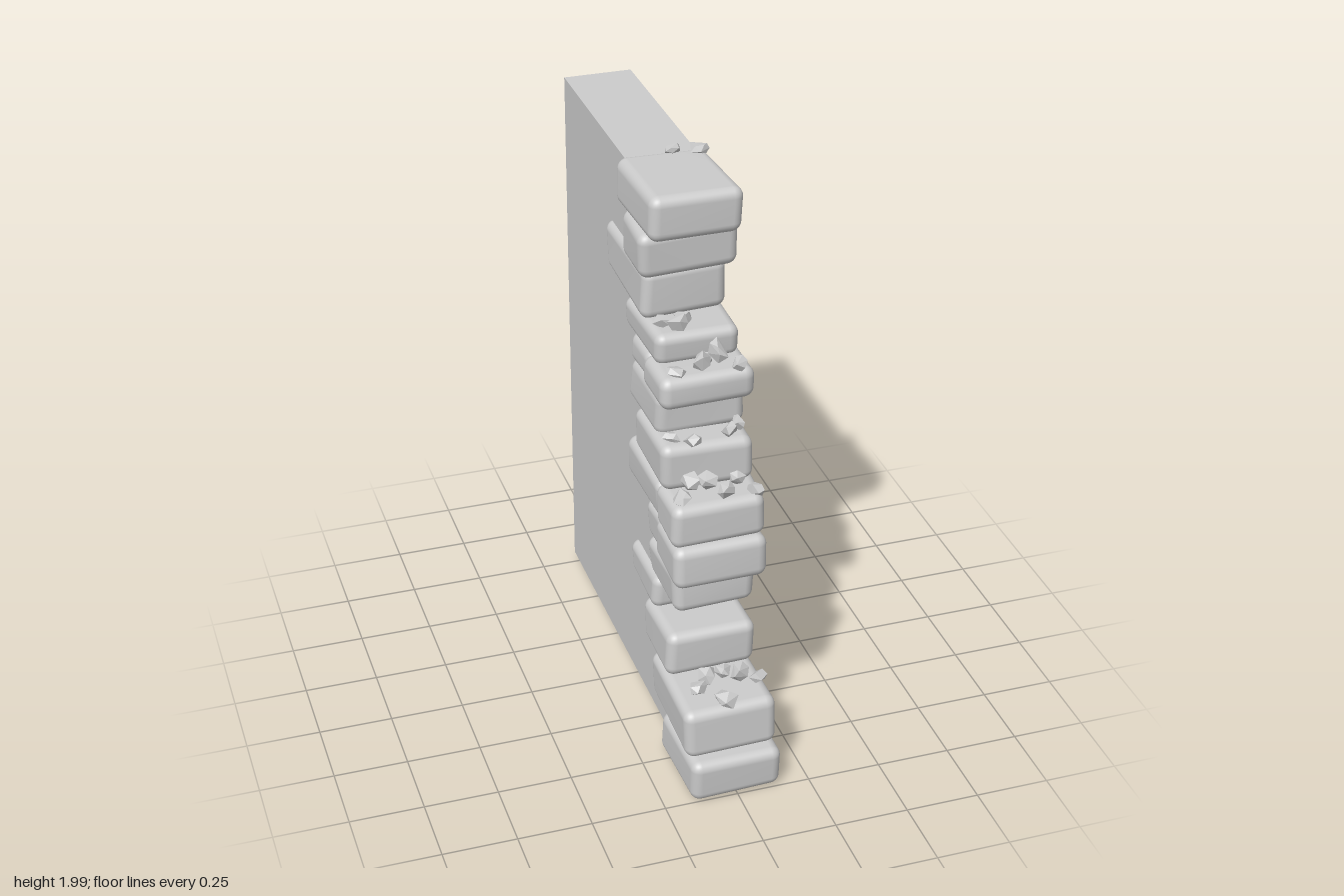
import * as THREE from 'three';
import { mergeVertices } from 'three/addons/utils/BufferGeometryUtils.js';
import { RoundedBoxGeometry } from 'three/addons/geometries/RoundedBoxGeometry.js';
import { ConvexGeometry } from 'three/addons/geometries/ConvexGeometry.js';

const smoothMat = new THREE.MeshStandardMaterial({ color: 0xcccccc });
const flatMat = new THREE.MeshStandardMaterial({ color: 0xcccccc, flatShading: true });

let seed = 7;
function rand() {
  seed = (seed * 16807) % 2147483647;
  return seed / 2147483647;
}
const jitter = (a) => (rand() * 2 - 1) * a;

// Worn block: rounded box whose corners are pulled about by smooth (trilinear) offsets
function makeBlock(x0, x1, y0, y1, z0, z1) {
  const w = x1 - x0, h = y1 - y0, d = z1 - z0;
  const geo = new RoundedBoxGeometry(w, h, d, 4, 0.034);
  const offsets = Array.from({ length: 8 }, () => [jitter(0.008), jitter(0.007), jitter(0.008)]);
  const p = geo.attributes.position;
  for (let i = 0; i < p.count; i++) {
    const v = [p.getX(i), p.getY(i), p.getZ(i)];
    const t = [v[0] / w + 0.5, v[1] / h + 0.5, v[2] / d + 0.5];
    for (let c = 0; c < 8; c++) {
      const k = (c & 1 ? t[0] : 1 - t[0]) * (c & 2 ? t[1] : 1 - t[1]) * (c & 4 ? t[2] : 1 - t[2]);
      for (let a = 0; a < 3; a++) v[a] += offsets[c][a] * k;
    }
    p.setXYZ(i, ...v);
  }
  geo.deleteAttribute('normal');
  geo.deleteAttribute('uv');
  const merged = mergeVertices(geo, 1e-4);
  merged.computeVertexNormals();
  const mesh = new THREE.Mesh(merged, smoothMat);
  mesh.position.set((x0 + x1) / 2, (y0 + y1) / 2, (z0 + z1) / 2);
  return mesh;
}

// Angular rubble chip: hull of a few points scattered on an ellipsoid
function makeChip(x, y, z, sx, sy, sz) {
  const pts = [];
  for (let i = 0; i < 10; i++) {
    const u = 1 - (2 * (i + 0.5)) / 10, a = i * 2.4 + jitter(0.5), r = Math.sqrt(1 - u * u);
    const k = 0.95 + jitter(0.15);
    pts.push(new THREE.Vector3(Math.cos(a) * r * sx, u * sy, Math.sin(a) * r * sz).multiplyScalar(k / 2));
  }
  const mesh = new THREE.Mesh(new ConvexGeometry(pts), flatMat);
  mesh.position.set(x, y, z);
  mesh.rotation.set(jitter(0.35), jitter(1), jitter(0.35));
  return mesh;
}

export function createModel() {
  const group = new THREE.Group();
  group.name = 'ruinedWallEnd';

  // Plain wall slab; its broken front edge stays hidden inside the blocks
  const edge = [
    [0.47, 0.04], [0.47, 0.155], [0.4, 0.33], [0.27, 0.48], [0.27, 0.6], [0.3, 0.735], [0.3, 0.88],
    [0.25, 1.02], [0.24, 1.18], [0.2, 1.31], [0.15, 1.41], [0.12, 1.51], [0.1, 1.68], [0.1, 1.96],
  ];
  const profile = [[-0.76, 0.04], ...edge, [-0.76, 1.96]];
  const shape = new THREE.Shape(profile.map(([z, y]) => new THREE.Vector2(-z, y)));
  const slabGeo = new THREE.ExtrudeGeometry(shape, { depth: 0.235, bevelEnabled: false });
  slabGeo.rotateY(Math.PI / 2).translate(-0.125, 0, 0);
  const slab = new THREE.Mesh(slabGeo, smoothMat);
  slab.name = 'wallSlab';
  group.add(slab);

  // Stacked end blocks: x range, y range, z range
  const blocks = [
    [-0.162, 0.148, 0.005, 0.158, 0.43, 0.76],
    [-0.165, 0.146, 0.155, 0.333, 0.315, 0.715],
    [-0.162, 0.148, 0.328, 0.49, 0.22, 0.497],
    [-0.148, 0.136, 0.478, 0.607, 0.035, 0.317],
    [-0.145, 0.135, 0.59, 0.737, 0.235, 0.517],
    [-0.162, 0.146, 0.733, 0.88, 0.36, 0.6],
    [-0.15, 0.138, 0.733, 0.877, 0.22, 0.375],
    [-0.168, 0.15, 0.877, 1.028, 0.375, 0.57],
    [-0.155, 0.142, 0.873, 1.018, 0.045, 0.39],
    [-0.162, 0.146, 1.022, 1.182, 0.14, 0.46],
    [-0.15, 0.14, 1.17, 1.315, 0.045, 0.355],
    [-0.162, 0.146, 1.308, 1.414, 0.225, 0.44],
    [-0.15, 0.138, 1.312, 1.414, 0.06, 0.235],
    [-0.15, 0.14, 1.402, 1.516, -0.01, 0.33],
    [-0.148, 0.135, 1.508, 1.685, -0.225, 0.195],
    [-0.17, 0.152, 1.675, 1.832, 0.02, 0.245],
    [-0.158, 0.145, 1.825, 1.977, -0.053, 0.312],
  ];
  blocks.forEach((b, i) => {
    const block = makeBlock(...b);
    block.name = 'stoneBlock' + (i + 1);
    group.add(block);
  });

  // Rubble resting on each ledge: x, y, z, then size on each axis
  const rubble = {
    lowerLedge: [
      [-0.09, 0.35, 0.6, 0.08, 0.05, 0.08], [-0.02, 0.35, 0.69, 0.08, 0.06, 0.09],
      [-0.05, 0.37, 0.57, 0.07, 0.07, 0.06], [0.06, 0.37, 0.58, 0.08, 0.07, 0.07],
      [0.12, 0.35, 0.6, 0.08, 0.05, 0.06], [0.02, 0.35, 0.53, 0.07, 0.05, 0.07],
    ],
    middleLedge: [
      [-0.12, 1.04, 0.52, 0.08, 0.05, 0.07], [-0.08, 1.07, 0.48, 0.07, 0.07, 0.07],
      [-0.03, 1.08, 0.5, 0.08, 0.06, 0.08], [0.02, 1.06, 0.54, 0.09, 0.06, 0.06],
      [0.08, 1.05, 0.47, 0.06, 0.06, 0.06], [0.12, 1.04, 0.54, 0.07, 0.05, 0.05],
    ],
    upperMiddleLedge: [
      [-0.12, 1.195, 0.4, 0.07, 0.04, 0.06], [-0.06, 1.195, 0.44, 0.07, 0.05, 0.06],
      [0.07, 1.2, 0.42, 0.07, 0.05, 0.06], [0.11, 1.2, 0.39, 0.06, 0.05, 0.06],
    ],
    upperLedge: [
      [-0.1, 1.425, 0.4, 0.08, 0.04, 0.07], [-0.02, 1.45, 0.4, 0.09, 0.07, 0.07],
      [0.04, 1.47, 0.38, 0.07, 0.09, 0.06], [0.1, 1.435, 0.42, 0.08, 0.05, 0.06],
      [0.0, 1.43, 0.36, 0.08, 0.06, 0.06],
    ],
    highLedge: [
      [-0.1, 1.53, 0.25, 0.07, 0.05, 0.07], [-0.07, 1.55, 0.31, 0.09, 0.07, 0.07],
      [-0.03, 1.53, 0.24, 0.07, 0.05, 0.06],
    ],
    top: [[0.03, 1.98, -0.04, 0.07, 0.035, 0.05], [0.11, 1.98, -0.02, 0.08, 0.04, 0.06]],
  };
  for (const [ledge, chips] of Object.entries(rubble)) {
    const pile = new THREE.Group();
    pile.name = ledge + 'Rubble';
    chips.forEach((c, i) => {
      const chip = makeChip(...c);
      chip.name = ledge + 'Chip' + (i + 1);
      pile.add(chip);
    });
    group.add(pile);
  }
  return group;
}
